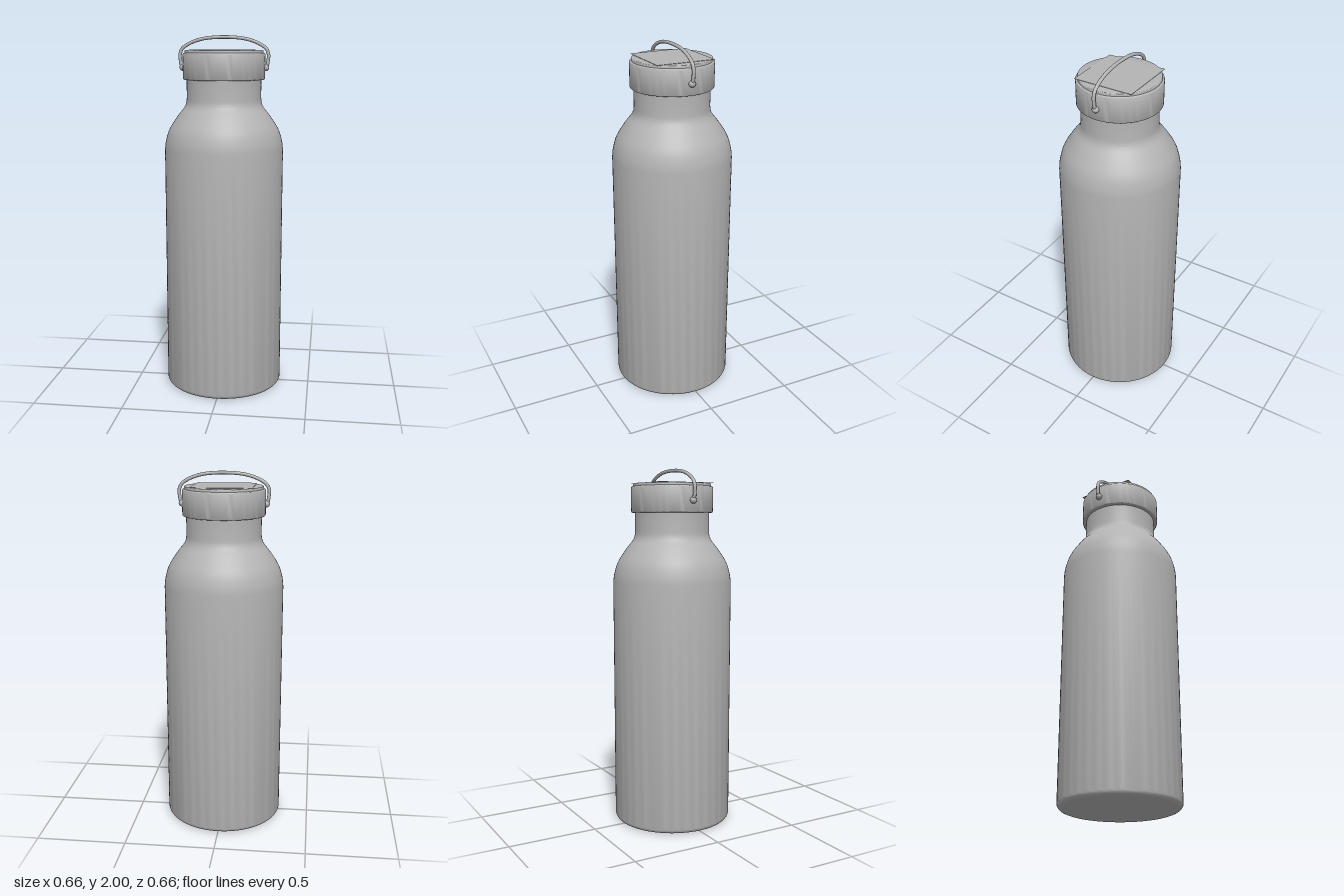
import * as THREE from 'three';
import { toCreasedNormals } from 'three/addons/utils/BufferGeometryUtils.js';

const steel = new THREE.MeshStandardMaterial({ color: 0xb4b4b4 });
steel.name = 'steel grey';

function part(name, geometry) {
  const mesh = new THREE.Mesh(geometry, steel);
  mesh.name = name;
  return mesh;
}

// Surface of revolution from [radius, height] pairs, listed bottom to top
function turned(name, profile) {
  const points = profile.map(([r, y]) => new THREE.Vector2(r, y));
  return part(name, toCreasedNormals(new THREE.LatheGeometry(points, 72), 0.6));
}

// Quarter-round corner points, from angle a to b in degrees
function corner(cx, cy, radius, a, b, steps = 6) {
  return Array.from({ length: steps + 1 }, (_, i) => {
    const t = THREE.MathUtils.degToRad(a + (b - a) * i / steps);
    return [cx + radius * Math.cos(t), cy + radius * Math.sin(t)];
  });
}

export function createModel() {
  const model = new THREE.Group();
  model.name = 'bottle';

  // Body with rounded foot, curved shoulder and straight neck
  const shoulder = new THREE.SplineCurve([
    [0.332, 1.37], [0.326, 1.42], [0.305, 1.487], [0.258, 1.56],
    [0.224, 1.603], [0.211, 1.63], [0.207, 1.66],
  ].map(([r, y]) => new THREE.Vector2(r, y))).getPoints(24).map(p => [p.x, p.y]);
  model.add(turned('body', [
    [0, 0], ...corner(0.302, 0.03, 0.03, -90, 0), ...shoulder, [0.207, 1.78],
  ]));

  // Lid band with softened edges
  model.add(turned('lid', [
    [0, 1.76], ...corner(0.22, 1.768, 0.008, -90, 0, 4),
    ...corner(0.218, 1.895, 0.01, 0, 90, 4), [0, 1.905],
  ]));

  // Raised disc on the lid
  model.add(turned('lidDisc', [
    [0, 1.9], [0.217, 1.9], ...corner(0.213, 1.916, 0.004, 0, 90, 3), [0, 1.92],
  ]));

  // Thin square plate lying on the disc
  const plate = part('topPlate', new THREE.BoxGeometry(0.334, 0.002, 0.334));
  plate.position.y = 1.922;
  model.add(plate);

  // Carrying loop, right half mirrored to the left
  const half = [[0.226, 1.822], [0.238, 1.835], [0.244, 1.865], [0.246, 1.895],
    [0.235, 1.925], [0.198, 1.953], [0.13, 1.978], [0.06, 1.988]];
  const path = new THREE.CatmullRomCurve3([
    ...half.map(([x, y]) => new THREE.Vector3(x, y, 0)),
    new THREE.Vector3(0, 1.99, 0),
    ...half.slice().reverse().map(([x, y]) => new THREE.Vector3(-x, y, 0)),
  ]);
  model.add(part('handle', new THREE.TubeGeometry(path, 96, 0.0095, 12)));

  // Pivot knobs on both sides of the lid
  for (const side of [1, -1]) {
    const knob = part(side > 0 ? 'leftKnob' : 'rightKnob', new THREE.SphereGeometry(0.019, 20, 14));
    knob.position.set(side * 0.231, 1.825, 0);
    model.add(knob);
  }
  return model;
}
